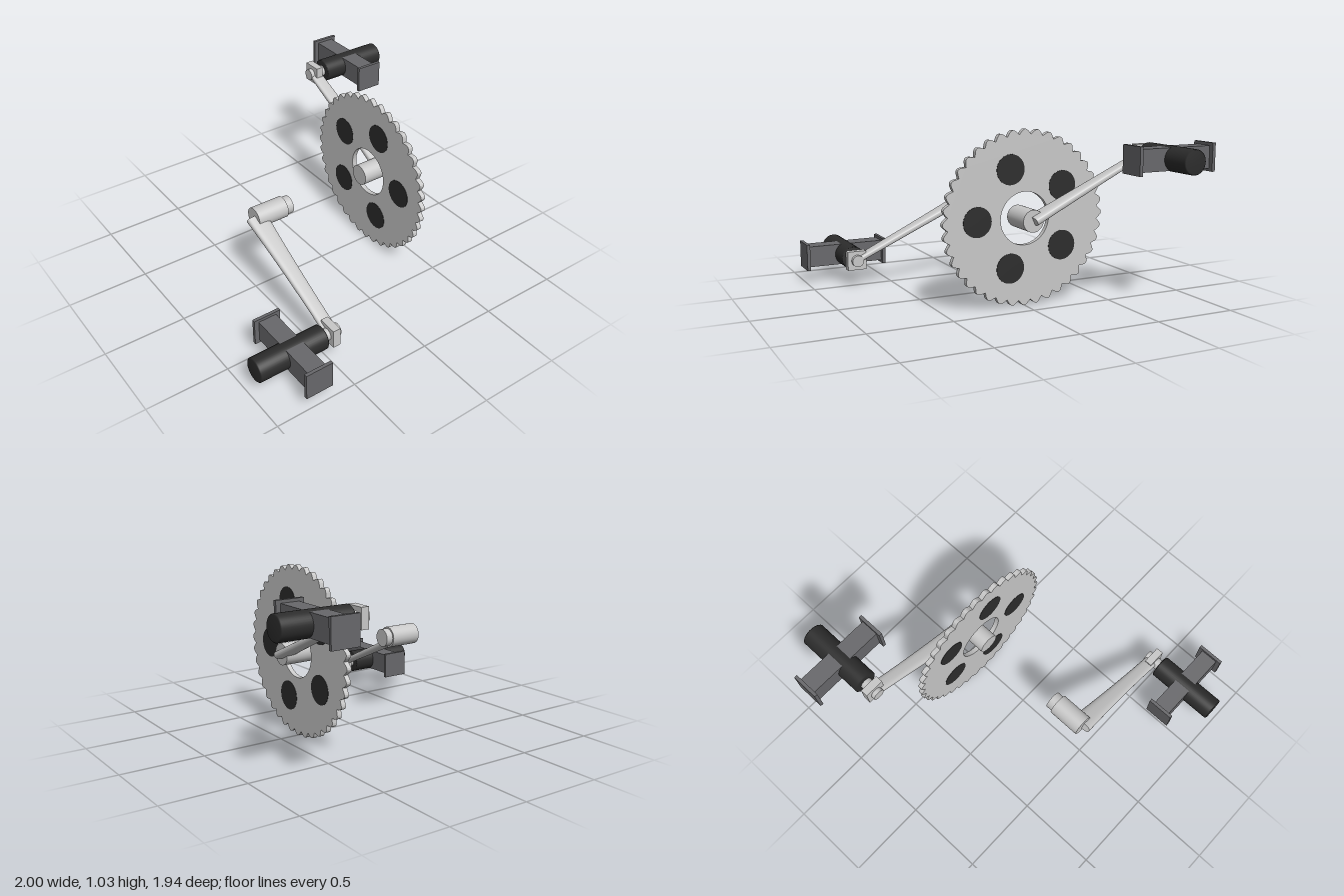
import * as THREE from 'three';

const mat = (name, color) => {
  const m = new THREE.MeshStandardMaterial({ color });
  m.name = name;
  return m;
};

export function createModel() {
  const metal = mat('light metal', 0xc8c8c8);
  const grey = mat('pedal grey', 0x68686b);
  const black = mat('rubber black', 0x2c2c2c);

  const AXIS_Y = 0.516, DX = 0.738, DY = 0.345;
  const model = new THREE.Group();
  model.name = 'crankset';

  const add = (parent, name, geo, material, x = 0, y = 0, z = 0) => {
    const mesh = new THREE.Mesh(geo, material);
    mesh.name = name;
    mesh.position.set(x, y, z);
    parent.add(mesh);
    return mesh;
  };
  // Cylinder running along z
  const rod = (r, length) => new THREE.CylinderGeometry(r, r, length, 40).rotateX(Math.PI / 2);

  // Toothed chainring with an open centre
  const TEETH = 40, STEPS = 8, RING_Z = -0.368, THICK = 0.03;
  const outline = [];
  for (let i = 0; i < TEETH * STEPS; i++) {
    const a = (i / (TEETH * STEPS)) * Math.PI * 2;
    const bump = Math.pow(Math.abs(Math.cos((a * TEETH) / 2)), 1.2);
    const r = 0.482 + 0.031 * bump;
    outline.push(new THREE.Vector2(Math.cos(a) * r, Math.sin(a) * r));
  }
  const ringShape = new THREE.Shape(outline);
  ringShape.holes.push(new THREE.Path().absarc(0, 0, 0.155, 0, Math.PI * 2, true));
  const ringGeo = new THREE.ExtrudeGeometry(ringShape, { depth: THICK, bevelEnabled: false, curveSegments: 32 });
  ringGeo.translate(0, 0, -THICK / 2);
  add(model, 'chainring', ringGeo, metal, 0, AXIS_Y, RING_Z);

  // Five dark discs, showing on both faces of the ring
  for (let i = 0; i < 5; i++) {
    const a = (i / 5) * Math.PI * 2;
    add(model, 'chainringDisc', rod(0.088, THICK + 0.004), black,
      Math.cos(a) * 0.3, AXIS_Y + Math.sin(a) * 0.3, RING_Z);
  }

  // Tapered arm along +x with a rounded-rectangle section, flared at the hub
  const makeArm = () => {
    const length = Math.hypot(DX, DY);
    const geo = new THREE.CylinderGeometry(1, 1, 1, 32, 12).rotateZ(-Math.PI / 2);
    const p = geo.attributes.position;
    const soft = (v) => Math.sign(v) * Math.pow(Math.abs(v), 0.7);
    for (let i = 0; i < p.count; i++) {
      const t = p.getX(i) + 0.5;
      const flare = (1 - t) * (1 - t);
      p.setXYZ(i, t * length,
        soft(p.getY(i)) * (0.018 + 0.008 * (1 - t)),
        0.468 + 0.003 * flare + soft(p.getZ(i)) * (0.041 + 0.024 * flare));
    }
    geo.computeVertexNormals();
    return geo;
  };

  // Pedal grip with softly chamfered ends, along z
  const makeGrip = (r, length) => {
    const h = length / 2, b = 0.006;
    const profile = [[0, -h], [r - b, -h], [r, -h + b], [r, h - b], [r - b, h], [0, h]];
    const pieces = profile.map(([x, y]) => new THREE.Vector2(x, y));
    return new THREE.LatheGeometry(pieces, 40).rotateX(Math.PI / 2);
  };

  // Front crank (s = 1) and its opposite at the back (s = -1)
  for (const s of [1, -1]) {
    const crank = new THREE.Group();
    crank.name = s > 0 ? 'frontCrank' : 'backCrank';
    crank.position.y = AXIS_Y;
    model.add(crank);

    add(crank, 'hub', rod(0.065, 0.2), metal, 0, 0, s * 0.387);
    if (s > 0) add(crank, 'hubNose', rod(0.055, 0.06), metal, 0, 0, 0.273);

    const arm = add(crank, 'crankArm', makeArm(), metal);
    arm.rotation.set(0, s > 0 ? 0 : Math.PI, -Math.atan2(DY, DX), 'ZYX');

    // Pedal and its fixing at the end of the arm
    const pedal = new THREE.Group();
    pedal.name = s > 0 ? 'frontPedal' : 'backPedal';
    pedal.position.set(s * DX, -s * DY, 0);
    crank.add(pedal);
    add(pedal, 'pedalSpindle', rod(0.036, 0.115), metal, 0, 0, s * 0.48);
    add(pedal, 'spindleNut', new THREE.BoxGeometry(0.118, 0.118, 0.047), metal, 0, 0, s * 0.471);
    add(pedal, 'pedalGrip', makeGrip(0.0725, 0.44), black, 0, 0, s * 0.75);
    add(pedal, 'pedalBar', new THREE.BoxGeometry(0.49, 0.131, 0.112), grey, s * 0.003, 0, s * 0.731);
    for (const e of [-1, 1]) {
      add(pedal, 'pedalEndPlate', new THREE.BoxGeometry(0.02, 0.166, 0.168), grey,
        s * 0.003 + e * 0.249, 0, s * 0.731);
    }
  }
  return model;
}
